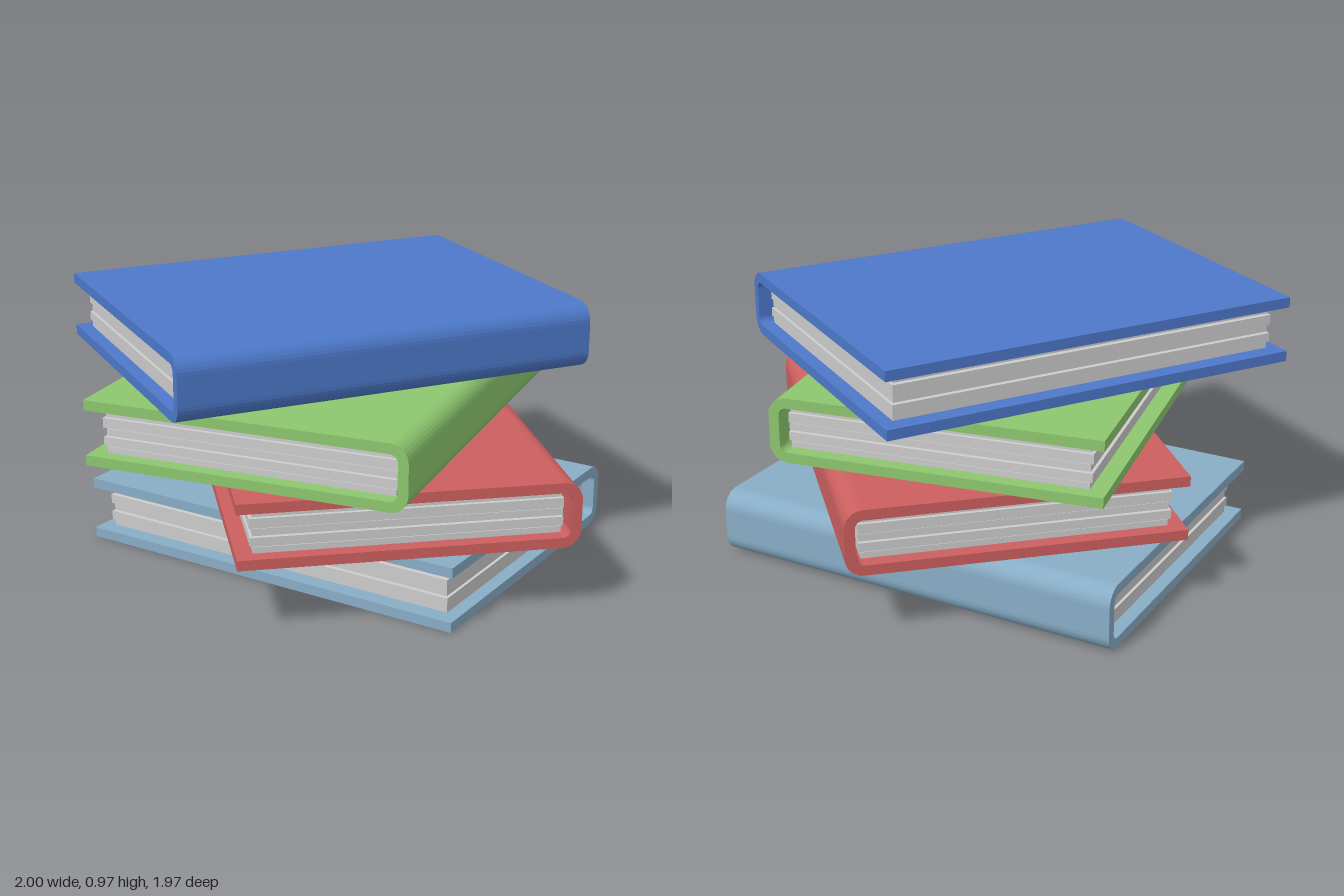
import * as THREE from 'three';

const WIDTH = 1.178, LENGTH = 1.543, HEIGHT = 0.237, BOARD = 0.037;
const RADIUS = 0.065;

// U-shaped case: two boards joined by a spine with rounded corners on +x
function coverGeometry() {
  const x0 = -WIDTH / 2, x1 = WIDTH / 2, xi = x1 - BOARD;
  const r = RADIUS, ri = RADIUS - BOARD;
  const s = new THREE.Shape();
  s.moveTo(x0, 0);
  s.lineTo(x1 - r, 0);
  s.absarc(x1 - r, r, r, -Math.PI / 2, 0, false);
  s.lineTo(x1, HEIGHT - r);
  s.absarc(x1 - r, HEIGHT - r, r, 0, Math.PI / 2, false);
  s.lineTo(x0, HEIGHT);
  s.lineTo(x0, HEIGHT - BOARD);
  s.lineTo(xi - ri, HEIGHT - BOARD);
  s.absarc(xi - ri, HEIGHT - BOARD - ri, ri, Math.PI / 2, 0, true);
  s.lineTo(xi, BOARD + ri);
  s.absarc(xi - ri, BOARD + ri, ri, 0, -Math.PI / 2, true);
  s.lineTo(x0, BOARD);
  s.closePath();
  const g = new THREE.ExtrudeGeometry(s, { depth: LENGTH, bevelEnabled: false, curveSegments: 4 });
  return g.translate(0, 0, -LENGTH / 2);
}

// Page bundles: [thickness share, fore-edge shift, end shift]
const BUNDLES = [
  [0.16, 0.004, 0.002],
  [0.22, -0.006, -0.003],
  [0.18, 0.003, 0.004],
  [0.24, -0.008, -0.002],
  [0.20, 0.002, 0.003],
];

function buildPages(material) {
  const pages = new THREE.Group();
  pages.name = 'pages';
  const room = HEIGHT - 2 * BOARD, gap = 0.004;
  let y = BOARD;
  BUNDLES.forEach(([share, fore, end], i) => {
    const h = room * share;
    const left = -WIDTH / 2 + 0.055 + fore;
    // outer bundles stop short of the rounded inner corners
    const right = WIDTH / 2 - (i === 0 || i === BUNDLES.length - 1 ? 0.058 : 0.052);
    const bundle = new THREE.Mesh(
      new THREE.BoxGeometry(right - left, h - gap, LENGTH - 0.092 - 2 * end), material);
    bundle.position.set((left + right) / 2, y + h / 2, 0);
    bundle.name = 'pageBundle';
    pages.add(bundle);
    y += h;
  });
  return pages;
}

// Books from bottom to top; the turn points each spine outward
const BOOKS = [
  { name: 'bottomBook', color: 0x88adc6, x: -0.07, z: -0.109, turn: 1.936 },
  { name: 'secondBook', color: 0xcc5f5f, x: 0.042, z: -0.112, turn: 1.105 },
  { name: 'thirdBook', color: 0x8cc66e, x: -0.015, z: 0.019, turn: 0.538 },
  { name: 'topBook', color: 0x4d78c9, x: -0.08, z: 0.003, turn: -0.22 },
];

export function createModel() {
  const model = new THREE.Group();
  model.name = 'bookStack';
  const paper = new THREE.MeshStandardMaterial({ color: 0xcccccc });
  const cover = coverGeometry();
  BOOKS.forEach(({ name, color, x, z, turn }, i) => {
    const book = new THREE.Group();
    book.name = name;
    const caseMesh = new THREE.Mesh(cover, new THREE.MeshStandardMaterial({ color }));
    caseMesh.name = 'cover';
    book.add(caseMesh, buildPages(paper));
    book.position.set(x, i * 0.2445, z);
    book.rotation.y = turn;
    model.add(book);
  });
  return model;
}
